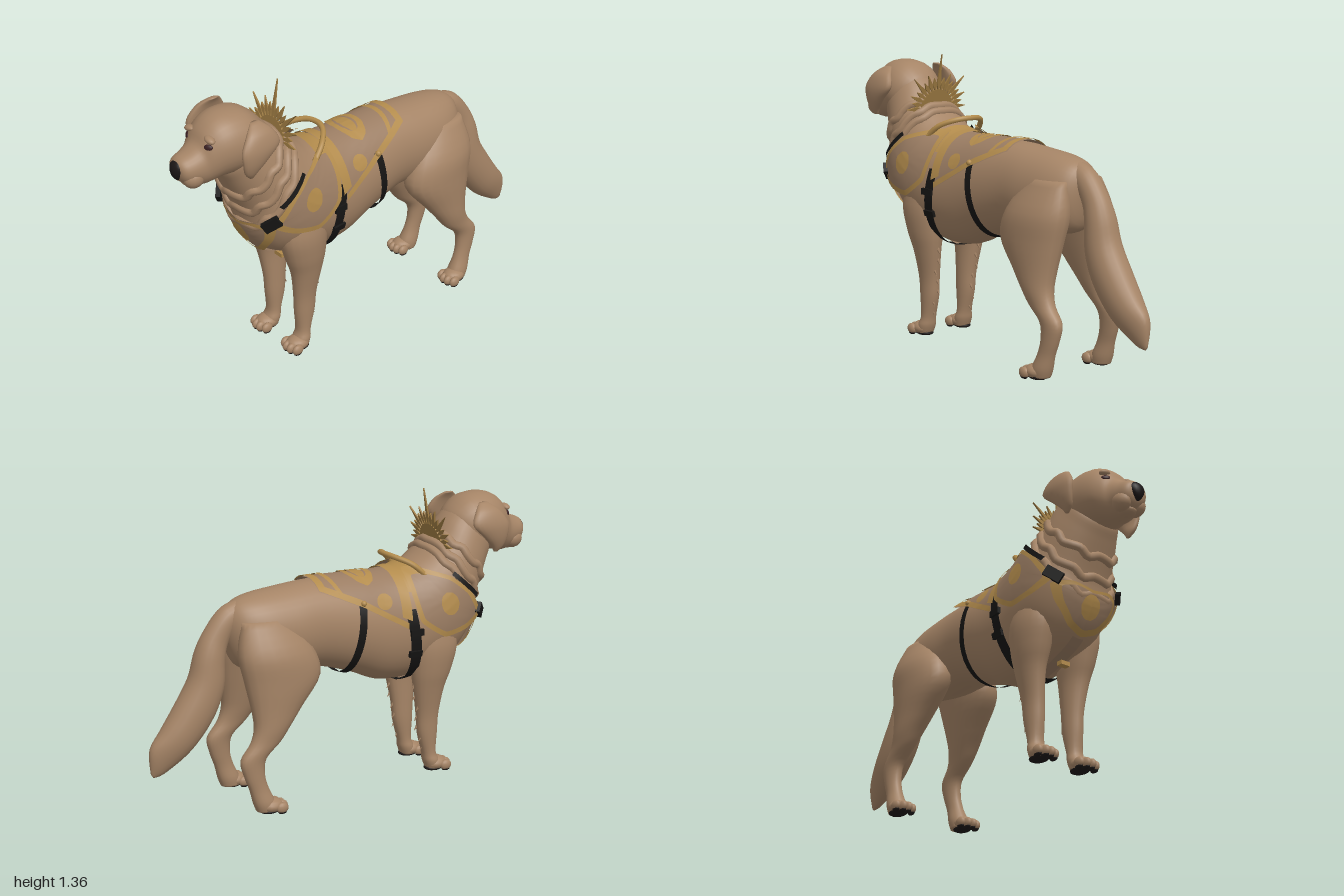
import * as THREE from 'three';

const mat = (name, color, side = THREE.FrontSide) =>
  Object.assign(new THREE.MeshStandardMaterial({ color, side }), { name });
const M = {
  fur: mat('fur', 0xa58466),
  vest: mat('vest fabric', 0x9b7d63, THREE.DoubleSide),
  trim: mat('gold trim', 0xb28b4c, THREE.DoubleSide),
  strap: mat('black strap', 0x161514, THREE.DoubleSide),
  sun: mat('sun gold', 0x9c7a42, THREE.DoubleSide),
  nose: mat('nose black', 0x1b1616),
  eye: mat('eye brown', 0x3a2022),
  pad: mat('paw pad', 0x1d1817),
};
const V = (x, y, z) => new THREE.Vector3(x, y, z);

// Smooth interpolation through rows of numbers, t in 0..1
function sample(rows, t) {
  const f = t * (rows.length - 1), i = Math.min(Math.floor(f), rows.length - 2), k = f - i;
  const r = n => rows[Math.max(0, Math.min(rows.length - 1, n))];
  return rows[0].map((_, c) => {
    const a = r(i - 1)[c], b = r(i)[c], d = r(i + 1)[c], e = r(i + 2)[c];
    return b + 0.5 * k * (d - a + k * (2 * a - 5 * b + 4 * d - e + k * (3 * (b - d) + e - a)));
  });
}
// Row: z and y of one edge, z and y of the opposite edge, half width, centre x
function ringPoint(rows, t, a, off = 0) {
  const [z1, y1, z2, y2, w, x = 0] = sample(rows, t);
  const len = Math.hypot(z1 - z2, y1 - y2) / 2, c = Math.cos(a) * (len + off) / len / 2, s = Math.sin(a);
  return V(x + (w + off) * Math.sign(s) * Math.abs(s) ** 0.9,
    (y1 + y2) / 2 + (y1 - y2) * c, (z1 + z2) / 2 + (z1 - z2) * c);
}
function loft(rows, n, m) {
  const pos = [], idx = [];
  for (let i = 0; i <= n; i++)
    for (let j = 0; j < m; j++) pos.push(...ringPoint(rows, i / n, j / m * Math.PI * 2).toArray());
  for (const t of [0, 1])
    pos.push(...ringPoint(rows, t, 0).add(ringPoint(rows, t, Math.PI)).multiplyScalar(0.5).toArray());
  const c0 = (n + 1) * m;
  for (let j = 0; j < m; j++) {
    const k = (j + 1) % m;
    for (let i = 0; i < n; i++) {
      const a = i * m + j, b = i * m + k;
      idx.push(a, a + m, b, b, a + m, b + m);
    }
    idx.push(c0, j, k, c0 + 1, n * m + k, n * m + j);
  }
  return surface(pos, idx);
}
function surface(pos, idx) {
  const g = new THREE.BufferGeometry();
  g.setAttribute('position', new THREE.Float32BufferAttribute(pos, 3));
  g.setIndex(idx);
  g.computeVertexNormals();
  return g;
}

const BODY = [
  [-.625, .90, -.615, .78, .03], [-.57, .955, -.57, .66, .11], [-.48, .98, -.45, .62, .155],
  [-.33, .995, -.32, .60, .17], [-.18, 1.005, -.18, .60, .17], [0, 1, 0, .545, .185],
  [.14, .995, .14, .485, .195], [.25, 1, .28, .475, .205], [.32, 1.02, .43, .51, .215],
  [.37, 1.05, .56, .57, .215], [.41, 1.08, .645, .69, .205], [.45, 1.11, .67, .80, .185],
  [.49, 1.15, .71, .90, .17], [.54, 1.215, .745, .98, .15], [.60, 1.27, .77, 1.04, .125],
  [.64, 1.26, .75, 1.08, .06]];
const HEAD = [
  [.545, 1.2, .60, 1.07, .05], [.57, 1.25, .63, 1.04, .115], [.64, 1.305, .68, 1.03, .145],
  [.73, 1.32, .75, 1.03, .142], [.80, 1.305, .80, 1.03, .128], [.85, 1.265, .845, 1.02, .106],
  [.88, 1.215, .88, 1.02, .088], [.92, 1.187, .92, 1.035, .078], [.96, 1.172, .955, 1.05, .066],
  [.98, 1.155, .975, 1.075, .045], [.986, 1.13, .982, 1.1, .01]];
const TAIL = [
  [-.997, .22, -.985, .2, .006], [-.997, .33, -.93, .215, .035], [-.94, .41, -.80, .305, .07],
  [-.877, .5, -.69, .44, .082], [-.80, .625, -.637, .57, .08], [-.765, .74, -.627, .7, .07],
  [-.72, .83, -.61, .77, .058], [-.635, .93, -.57, .83, .055], [-.54, .965, -.5, .85, .05]];
const FRONT_LEG = [
  [.48, .84, .32, .84, .05, .12], [.53, .66, .29, .66, .082, .13], [.505, .53, .295, .53, .074, .13],
  [.47, .43, .31, .43, .057, .125], [.45, .3, .332, .3, .044, .113], [.445, .2, .342, .2, .041, .11],
  [.438, .1, .368, .1, .037, .11], [.455, .055, .375, .055, .045, .112], [.46, .015, .39, .015, .04, .113]];
const HIND_LEG = [
  [-.36, .88, -.58, .88, .05, .1], [-.25, .74, -.61, .74, .1, .125], [-.22, .61, -.59, .61, .095, .14],
  [-.32, .48, -.565, .48, .074, .155], [-.385, .4, -.56, .4, .06, .165], [-.435, .335, -.583, .335, .046, .17],
  [-.51, .265, -.635, .265, .038, .172], [-.522, .19, -.622, .19, .034, .175],
  [-.505, .12, -.597, .12, .034, .178], [-.475, .055, -.58, .055, .044, .18], [-.47, .015, -.565, .015, .04, .18]];
const EAR = [
  [.69, 1.295, .645, 1.295, .012, .145], [.735, 1.26, .605, 1.26, .024, .178], [.775, 1.2, .58, 1.2, .027, .197],
  [.772, 1.14, .64, 1.14, .023, .198], [.757, 1.09, .69, 1.09, .018, .187], [.73, 1.06, .71, 1.06, .006, .18]];

export function createModel() {
  const dog = new THREE.Group();
  dog.name = 'dog';
  const add = (name, geo, material, parent = dog) => {
    const m = new THREE.Mesh(geo, material);
    m.name = name;
    parent.add(m);
    return m;
  };
  const ball = (name, material, p, r) => {
    const m = add(name, new THREE.SphereGeometry(1, 16, 10), material);
    m.position.set(...p);
    m.scale.set(...r);
    return m;
  };
  const mirrored = (rows, s) => rows.map(r => [...r.slice(0, 5), r[5] * s]);

  // Furry parts
  const body = add('body', loft(BODY, 75, 36), M.fur);
  const head = add('head', loft(HEAD, 40, 28), M.fur);
  add('tail', loft(TAIL, 36, 20), M.fur);
  for (const [i, t] of [.69, .74, .80].entries()) {
    const pts = [];
    for (let j = 0; j < 24; j++)
      pts.push(ringPoint(BODY, t + .008 * Math.sin(j * 2.3), j / 24 * Math.PI * 2, -.004));
    add('neckRuff' + i, new THREE.TubeGeometry(new THREE.CatmullRomCurve3(pts, true), 72, .021, 8, true), M.fur);
  }

  // Drapes a grid onto a solid: fn(u, v) gives the ray origin and direction
  const caster = new THREE.Raycaster();
  let last = { point: V(0, 0, 0), normal: V(0, 1, 0) };
  const cast = (o, d, target = body) => {
    caster.set(o, d.normalize());
    last = caster.intersectObject(target)[0] || last;
    return last;
  };
  const drape = (name, material, nu, nv, off, fn) => {
    const pos = [], idx = [];
    for (let i = 0; i <= nu; i++)
      for (let j = 0; j <= nv; j++) {
        const h = cast(...fn(i / nu, j / nv));
        pos.push(...h.point.clone().addScaledVector(h.normal, off).toArray());
        if (i < nu && j < nv) {
          const a = i * (nv + 1) + j, b = a + nv + 1;
          idx.push(a, b, a + 1, a + 1, b, b + 1);
        }
      }
    return add(name, surface(pos, idx), material);
  };
  const radial = (z, a) => [V(Math.sin(a), .75 + Math.cos(a), z), V(-Math.sin(a), -Math.cos(a), 0)];
  const fromSide = s => (z, y) => [V(s, y, z), V(-s, 0, 0)];
  const fromFront = (x, y) => [V(x, y, 2), V(0, 0, -1)];
  const fromTop = (x, z) => [V(x, 2, z), V(0, -1, 0)];
  // Rounded outline panel, or a band of it between two radii
  const panel = (name, material, outline, c, r0, r1, off, project) => {
    const curve = new THREE.CatmullRomCurve3(outline.map(p => V(p[0], p[1], 0)), true, 'catmullrom', .25);
    return drape(name, material, 48, r0 ? 2 : 6, off, (u, v) => {
      const p = curve.getPoint(u % 1), r = r0 + (r1 - r0) * v;
      return project(c[0] + (p.x - c[0]) * r, c[1] + (p.y - c[1]) * r);
    });
  };
  const oval = (rx, ry, cx, cy) => Array.from({ length: 10 }, (_, i) =>
    [cx + rx * Math.cos(i * Math.PI / 5), cy + ry * Math.sin(i * Math.PI / 5)]);

  // Saddle of the harness
  const half = z => z > 0 ? .9 + z * 2.8 : .9 + z * 2.2;
  const saddleZ = u => .22 - .42 * u;
  drape('saddle', M.vest, 18, 24, .012, (u, v) => radial(saddleZ(u), (v * 2 - 1) * half(saddleZ(u))));
  const band = (name, z0, z1, off, k = 1) => drape(name, M.trim, 2, 24, off, (u, v) => {
    const z = z0 + (z1 - z0) * u;
    return radial(z + .04 * (2 * v - 1) ** 2 * (k - 1), (v * 2 - 1) * half(z) * Math.min(k, 1));
  });
  band('saddleRearTrim', -.2, -.165, .018);
  band('saddleInnerTrim', -.14, -.115, .018, 1.8);
  band('saddleFrontTrim', .195, .245, .02, .85);
  drape('withersPatch', M.trim, 4, 20, .014, (u, v) => radial(.24 + .08 * u, (v * 2 - 1) * .75));
  panel('backEmblem', M.trim, oval(.11, .07, 0, .05), [0, .05], .62, 1, .018, fromTop);
  panel('backEmblemCentre', M.trim, oval(.07, .03, 0, .05), [0, .05], 0, 1, .018, fromTop);

  // Chest bib
  const bib = [[-.17, .765], [-.1, .775], [0, .755], [.1, .775], [.17, .765], [.145, .69], [.075, .605], [0, .578], [-.075, .605], [-.145, .69]];
  panel('bib', M.vest, bib, [0, .69], 0, 1, .014, fromFront);
  panel('bibTrim', M.trim, bib, [0, .69], .8, 1, .019, fromFront);
  panel('bibEmblem', M.trim, oval(.048, .05, 0, .685), [0, .685], 0, 1, .019, fromFront);
  drape('sternumStrap', M.vest, 4, 12, .012, (u, v) => [V(.06 * u - .03, -1, .28 + .28 * v), V(0, 1, 0)]);
  const clip = add('sternumClip', new THREE.BoxGeometry(.05, .02, .03), M.trim);
  clip.position.set(.015, .485, .45);

  // Straps around the girth and belly
  const girth = (name, a0, z0, z1, w) => drape(name, M.strap, 2, 56, .013, (u, v) => {
    const a = a0 + (Math.PI * 2 - 2 * a0) * v;
    return radial(z0 + (z1 - z0) * (1 - Math.cos(a)) / 2 + w * (u - .5), a);
  });
  girth('girthStrap', 1.1, .22, .285, .055);
  girth('bellyStrap', .8, .005, -.045, .038);

  // Handle over the withers
  const grip = new THREE.CatmullRomCurve3([V(-.15, .985, .35), V(-.125, 1.04, .29), V(-.06, 1.07, .23), V(0, 1.075, .215),
    V(.06, 1.07, .23), V(.125, 1.04, .29), V(.15, .985, .35)]);
  add('handle', new THREE.TubeGeometry(grip, 30, .013, 8), M.trim);

  for (const s of [1, -1]) {
    const side = s > 0 ? 'left' : 'right', look = fromSide(s);
    add(side + 'FrontLeg', loft(mirrored(FRONT_LEG, s), 32, 20), M.fur);
    add(side + 'HindLeg', loft(mirrored(HIND_LEG, s), 40, 20), M.fur);
    add(side + 'Ear', loft(mirrored(EAR, s), 20, 20), M.fur);

    // Paws, toes and pads
    for (const [part, x, z] of [['Front', .115, .44], ['Hind', .187, -.495]]) {
      ball(side + part + 'Paw', M.fur, [s * x, .036, z], [.05, .034, .058]);
      ball(side + part + 'Pad', M.pad, [s * x, .014, z - .01], [.04, .014, .05]);
      for (let i = 0; i < 4; i++) {
        const e = i - 1.5, tx = s * x + e * .029, tz = z + .052 - Math.abs(e) * .012;
        ball(side + part + 'Toe', M.fur, [tx, .029, tz], [.0175, .026, .03]);
        ball(side + part + 'ToePad', M.pad, [tx, .011, tz], [.013, .011, .022]);
      }
    }
    // Tufts behind the front legs
    for (let i = 0; i < 7; i++) {
      const y = .13 + i * .052, row = sample(FRONT_LEG, Math.max(0, .75 - i * .065));
      const tuft = add(side + 'Tuft', new THREE.ConeGeometry(.014, .06, 6), M.fur);
      tuft.position.set(s * (row[5] + .012 * Math.sin(i * 2)), y, row[2] + .002);
      tuft.rotation.x = -2.5;
    }
    // Face
    ball(side + 'Flew', M.fur, [s * .04, 1.075, .918], [.042, .046, .05]);
    const e = cast(V(s * .075, 1.213, 2), V(0, 0, -1), head);
    const eye = ball(side + 'Eye', M.eye, e.point.toArray(), [.02, .013, .007]);
    eye.lookAt(e.point.clone().add(e.normal));
    const brow = ball(side + 'Brow', M.fur, [s * .07, 1.243, e.point.z - .012], [.03, .014, .02]);
    brow.rotation.z = -s * .2;

    // Shoulder panel
    const out = [[.6, .785], [.52, .735], [.4, .715], [.28, .79], [.255, .9], [.26, .985], [.34, .995], [.45, .97], [.54, .895]];
    panel(side + 'ShoulderPanel', M.vest, out, [.42, .86], 0, 1, .028, look);
    panel(side + 'ShoulderTrim', M.trim, out, [.42, .86], .86, 1.02, .033, look);
    panel(side + 'ShoulderEmblem', M.trim, oval(.045, .05, .43, .855), [.43, .855], 0, 1, .033, look);
    drape(side + 'CollarStrap', M.strap, 2, 10, .034, (u, v) =>
      look(.57 - .11 * v + .014 * u, .865 + .11 * v + .014 * u));
    // Saddle side trim with its strap anchor
    drape(side + 'SaddleTrim', M.trim, 24, 2, .018, (u, v) =>
      radial(saddleZ(u), s * (half(saddleZ(u)) - .14 * v)));
    drape(side + 'SaddleEmblem', M.trim, 16, 3, .018, (u, v) =>
      radial(.11 + .04 * v * Math.cos(u * Math.PI * 2), s * (.85 + .17 * v * Math.sin(u * Math.PI * 2))));
    const fit = (name, geo, material, h, off, roll) => {
      const m = add(side + name, geo, material);
      m.position.copy(h.point).addScaledVector(h.normal, off);
      m.lookAt(h.point.clone().add(h.normal));
      m.rotateZ(roll);
    };
    fit('Anchor', new THREE.SphereGeometry(.014, 10, 8), M.trim, cast(...radial(0, s * .82)), .018, 0);
    fit('ChestBuckle', new THREE.BoxGeometry(.085, .05, .022), M.strap, cast(...fromFront(s * .165, .795)), .032, s * .6);
    for (const y of [.64, .74])
      fit('GirthSlider', new THREE.BoxGeometry(.066, .03, .014), M.strap, cast(...look(.262, y)), .016, 0);
  }

  // Nose and mouth
  const noseGeo = new THREE.SphereGeometry(1, 20, 14), p = noseGeo.attributes.position;
  for (let i = 0; i < p.count; i++) p.setX(i, p.getX(i) * (.85 + .25 * p.getY(i)));
  noseGeo.computeVertexNormals();
  const nose = add('nose', noseGeo, M.nose);
  nose.position.set(0, 1.115, .968);
  nose.scale.set(.046, .046, .032);
  ball('chin', M.fur, [0, 1.045, .9], [.048, .025, .05]);

  // Sunburst standing behind the neck
  const sun = new THREE.Group();
  sun.name = 'sunburst';
  sun.position.set(0, 1.1, .472);
  sun.rotation.x = -.18;
  dog.add(sun);
  const plate = shape => new THREE.ExtrudeGeometry(shape, { depth: .008, bevelEnabled: false, curveSegments: 20 });
  const disc = new THREE.Shape();
  disc.absarc(0, 0, .09, 0, Math.PI);
  add('sunDisc', plate(disc), M.sun, sun);
  for (let i = 0; i <= 16; i++) {
    const a = i / 16 * Math.PI, tip = (i % 2 ? .15 : .175) + (i === 8 ? .09 : (i % 4 ? .0 : .05 * Math.sin(a)));
    const kite = new THREE.Shape([[.075, 0], [.12, -.011], [tip, 0], [.12, .011]].map(q => new THREE.Vector2(...q)));
    add('sunRay', plate(kite), M.sun, sun).rotation.z = a;
  }
  return dog;
}
